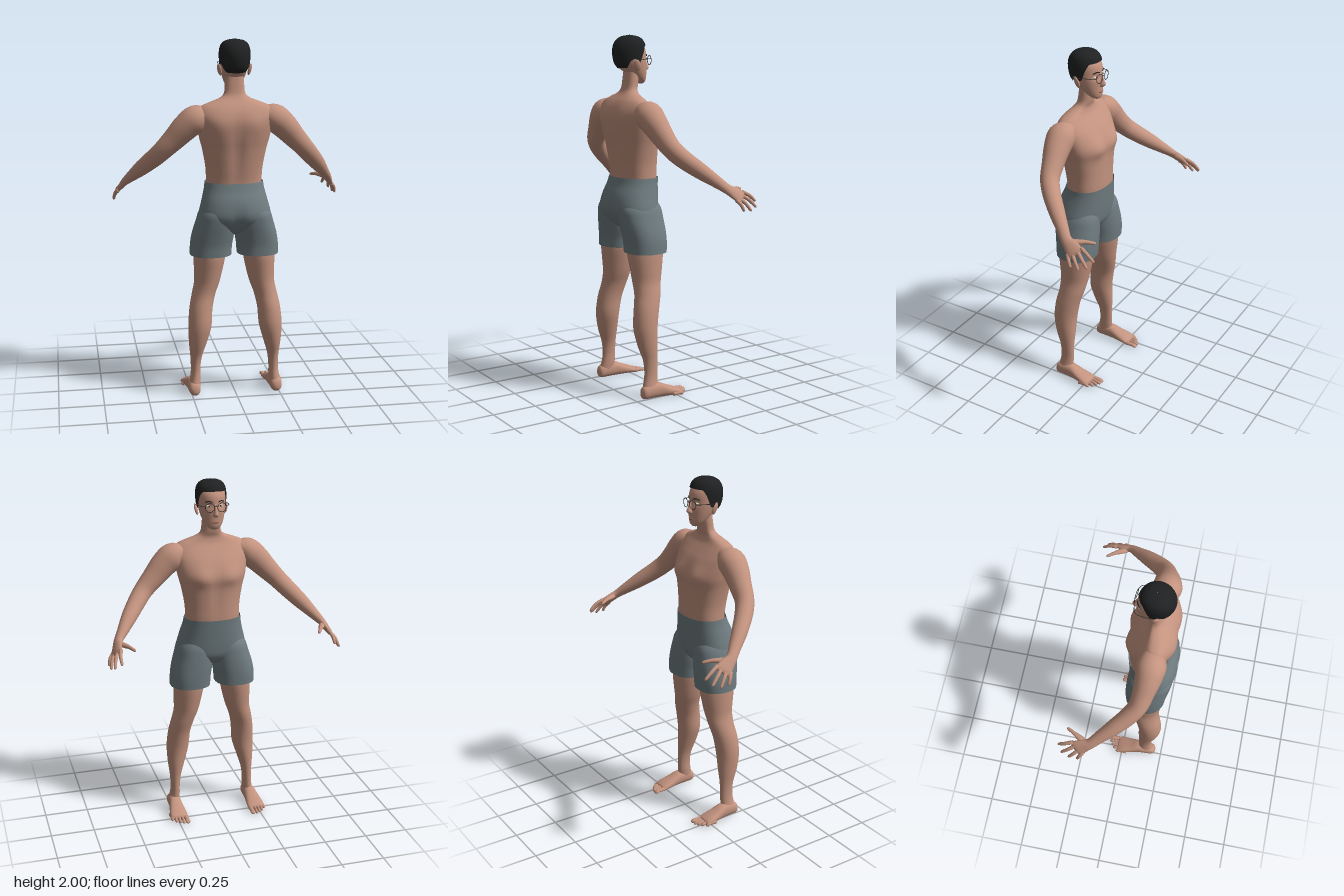
import * as THREE from 'three';

const mat = (name, color, double) => {
  const m = new THREE.MeshStandardMaterial({ color });
  m.name = name;
  if (double) m.side = THREE.DoubleSide;
  return m;
};
const V = (a) => new THREE.Vector3(...a);
const gauss = (d, w) => Math.exp(-(d * d) / (w * w));

// Smooth skin over cross-sections [x, y, z, halfWidth, halfDepth].
// dir fixes the sweep direction; otherwise it follows the path. s = -1 mirrors in x.
function loft(nodes, o = {}) {
  const { u = [1, 0, 0], dir, n = 28, per = 4, power = 2, s = 1, shape, start, caps = true } = o;
  const last = nodes.length - 1, rows = last * per;
  const spline = new THREE.CubicInterpolant(nodes.map((_, i) => i), nodes.flat(), 5);
  const at = (t) => Array.from(spline.evaluate(Math.min(last, Math.max(0, t))));
  const pos = [], idx = [];
  const tri = (a, b, c) => (s > 0 ? idx.push(a, b, c) : idx.push(a, c, b));
  const bend = (x) => Math.sign(x) * Math.pow(Math.abs(x), 2 / power);
  const put = (p) => {
    if (shape) shape(p);
    pos.push(p.x * s, p.y, p.z);
  };
  for (let i = 0; i <= rows; i++) {
    for (let j = 0; j < n; j++) {
      const phi = (j / n) * Math.PI * 2;
      const t0 = start ? start(phi) : 0;
      const t = t0 + (last - t0) * (i / rows);
      const q = at(t);
      const tan = dir ? V(dir) : V(at(t + 0.05)).sub(V(at(t - 0.05))).normalize();
      const side = V(u).addScaledVector(tan, -V(u).dot(tan)).normalize();
      const depth = side.clone().cross(tan);
      put(V(q).addScaledVector(side, bend(Math.sin(phi)) * q[3])
        .addScaledVector(depth, -bend(Math.cos(phi)) * q[4]));
      if (i < rows) {
        const a = i * n + j, b = i * n + (j + 1) % n;
        tri(a, a + n, b);
        tri(b, a + n, b + n);
      }
    }
  }
  if (caps) {
    const c = pos.length / 3;
    put(V(nodes[0]));
    put(V(nodes[last]));
    for (let j = 0; j < n; j++) {
      const k = (j + 1) % n;
      tri(c, j, k);
      tri(c + 1, rows * n + k, rows * n + j);
    }
  }
  const g = new THREE.BufferGeometry();
  g.setAttribute('position', new THREE.Float32BufferAttribute(pos, 3));
  g.setIndex(idx);
  g.computeVertexNormals();
  return g;
}

// Horizontal sections given as [y, halfWidth, zFront, zBack]
const stack = (list, o) =>
  loft(list.map(([y, w, f, b]) => [0, y, (f + b) / 2, w, (b - f) / 2]), { dir: [0, 1, 0], ...o });

export function createModel() {
  const root = new THREE.Group();
  root.name = 'standingMan';
  const skin = mat('skin', 0xc3937f), cloth = mat('shortsCloth', 0x6f7c80, true);
  const black = mat('hairBlack', 0x202122, true), frame = mat('glassesFrame', 0x35302e);
  const white = mat('eyeWhite', 0xe4ddd6), iris = mat('iris', 0x3a2a22), lip = mat('lips', 0xa96f62);
  const add = (name, g, m) => {
    const mesh = new THREE.Mesh(g, m);
    mesh.name = name;
    root.add(mesh);
    return mesh;
  };
  const ball = (name, m, p, r) => {
    const b = add(name, new THREE.SphereGeometry(1, 20, 14), m);
    b.position.set(...p);
    b.scale.set(...r);
    return b;
  };

  // Torso and neck, with chest muscles, shoulder blades and spine groove
  add('torso', stack([
    [1.14, 0.15, 0.012, 0.215], [1.22, 0.154, 0.005, 0.217], [1.3, 0.158, 0.004, 0.228],
    [1.4, 0.176, 0.002, 0.243], [1.47, 0.194, -0.001, 0.255], [1.55, 0.208, 0.032, 0.26],
    [1.6, 0.212, 0.066, 0.248], [1.64, 0.19, 0.095, 0.225], [1.665, 0.135, 0.106, 0.203],
    [1.685, 0.083, 0.107, 0.186], [1.71, 0.058, 0.1, 0.174], [1.76, 0.053, 0.092, 0.166],
    [1.81, 0.05, 0.085, 0.16],
  ], {
    n: 56, power: 2.35, shape: (p) => {
      if (p.z < 0.1) {
        p.z -= 0.015 * gauss(Math.abs(p.x) - 0.085, 0.05) * gauss(p.y - 1.475, 0.05);
        p.z += 0.006 * gauss(p.x, 0.02) * gauss(p.y - 1.38, 0.14);
      } else {
        p.z -= 0.012 * gauss(p.x, 0.03) * gauss(p.y - 1.4, 0.17);
        p.z += 0.008 * gauss(Math.abs(p.x) - 0.1, 0.05) * gauss(p.y - 1.54, 0.06);
      }
    },
  }), skin);

  // Head with shallow eye sockets
  add('head', stack([
    [1.735, 0.016, 0.052, 0.075], [1.745, 0.034, 0.042, 0.095], [1.765, 0.05, 0.037, 0.13],
    [1.8, 0.064, 0.036, 0.165], [1.84, 0.073, 0.034, 0.198], [1.88, 0.077, 0.037, 0.214],
    [1.92, 0.077, 0.044, 0.216], [1.95, 0.069, 0.063, 0.205], [1.975, 0.045, 0.09, 0.18],
    [1.985, 0.008, 0.125, 0.145],
  ], {
    n: 48, shape: (p) => {
      if (p.z < 0.09) p.z += 0.008 * gauss(Math.abs(p.x) - 0.033, 0.02) * gauss(p.y - 1.868, 0.016);
    },
  }), skin);
  add('nose', stack([
    [1.806, 0.009, 0.028, 0.05], [1.814, 0.016, 0.016, 0.055], [1.825, 0.015, 0.011, 0.055],
    [1.845, 0.009, 0.02, 0.055], [1.88, 0.007, 0.036, 0.055],
  ], { n: 16 }), skin);
  ball('lips', lip, [0, 1.778, 0.04], [0.021, 0.007, 0.008]);

  // Hair cap; its lower edge dips from forehead to sideburns and nape
  const edge = [[0, 3.15], [48, 3.05], [62, 2.3], [78, 1.0], [89, 0.8], [97, 1.5], [115, 1.2], [135, 0.15], [181, 0]];
  add('hair', stack([
    [1.818, 0.071, 0.05, 0.2], [1.85, 0.08, 0.04, 0.224], [1.9, 0.085, 0.036, 0.234],
    [1.94, 0.084, 0.044, 0.229], [1.972, 0.073, 0.06, 0.211], [1.991, 0.048, 0.088, 0.182],
    [2.0, 0.002, 0.132, 0.136],
  ], {
    n: 72, caps: false, start: (phi) => {
      const d = THREE.MathUtils.radToDeg(Math.min(phi, Math.PI * 2 - phi));
      const k = edge.findIndex((e) => e[0] > d);
      const [a, b] = [edge[k - 1], edge[k]];
      return THREE.MathUtils.mapLinear(d, a[0], b[0], a[1], b[1]);
    },
  }), black);

  // Shorts: seat
  add('shortsSeat', stack([
    [0.935, 0.05, 0.09, 0.19], [0.955, 0.12, 0.045, 0.225], [1.0, 0.195, 0.016, 0.262],
    [1.05, 0.2, 0.007, 0.28], [1.12, 0.183, 0.002, 0.268], [1.18, 0.168, -0.001, 0.241],
    [1.222, 0.162, -0.003, 0.226],
  ], {
    n: 48, power: 2.3, caps: false, shape: (p) => {
      if (p.z > 0.15) p.z -= 0.014 * gauss(p.x, 0.03) * gauss(p.y - 1.02, 0.06);
    },
  }), cloth);

  // Glasses bridge
  const rod = (name, pts, r, m) => add(name, new THREE.TubeGeometry(
    new THREE.CatmullRomCurve3(pts.map(V)), 12, r, 8), m);
  rod('glassesBridge', [[-0.009, 1.87, 0.024], [0, 1.873, 0.02], [0.009, 1.87, 0.024]], 0.0017, frame);

  const across = [0.035, -0.04, 0.065]; // from index knuckle to little knuckle
  for (const s of [1, -1]) {
    const side = s > 0 ? 'left' : 'right';

    // Face details
    ball(side + 'Eye', white, [s * 0.033, 1.866, 0.057], [0.014, 0.007, 0.011]);
    ball(side + 'Iris', iris, [s * 0.033, 1.866, 0.0485], [0.005, 0.005, 0.004]);
    rod(side + 'Eyebrow', [[s * 0.016, 1.889, 0.039], [s * 0.034, 1.894, 0.046], [s * 0.052, 1.888, 0.058]], 0.003, black);
    const ear = ball(side + 'Ear', skin, [s * 0.083, 1.835, 0.138], [0.009, 0.033, 0.019]);
    ear.rotation.set(0.2, s * -0.4, s * -0.2);
    const rim = add(side + 'GlassesRim', new THREE.TorusGeometry(0.025, 0.0017, 8, 32), frame);
    rim.position.set(s * 0.034, 1.862, 0.027);
    rim.rotation.y = s * -0.15;
    rod(side + 'GlassesTemple', [[s * 0.059, 1.868, 0.031], [s * 0.078, 1.87, 0.045], [s * 0.086, 1.868, 0.09], [s * 0.084, 1.86, 0.14]], 0.0017, frame);

    // Shorts leg
    add(side + 'ShortsLeg', loft([
      [0.133, 0.813, 0.12, 0.116, 0.114], [0.13, 0.87, 0.12, 0.117, 0.117],
      [0.12, 0.93, 0.125, 0.117, 0.122], [0.107, 1.0, 0.133, 0.109, 0.126],
      [0.098, 1.06, 0.138, 0.098, 0.122], [0.09, 1.12, 0.135, 0.06, 0.085],
    ], { dir: [0, 1, 0], n: 40, power: 2.3, s, caps: false }), cloth);

    // Leg
    add(side + 'Leg', loft([
      [0.235, 0.04, 0.155, 0.034, 0.048], [0.227, 0.1, 0.146, 0.029, 0.042],
      [0.225, 0.15, 0.143, 0.027, 0.04], [0.222, 0.22, 0.146, 0.033, 0.044],
      [0.214, 0.3, 0.157, 0.049, 0.059], [0.202, 0.4, 0.164, 0.065, 0.069],
      [0.194, 0.5, 0.152, 0.065, 0.073], [0.177, 0.58, 0.134, 0.066, 0.076],
      [0.157, 0.65, 0.127, 0.071, 0.083], [0.148, 0.72, 0.125, 0.08, 0.093],
      [0.14, 0.8, 0.125, 0.088, 0.104], [0.135, 0.88, 0.125, 0.09, 0.105],
    ], { dir: [0, 1, 0], s }), skin);

    // Foot and toes
    add(side + 'Foot', loft([
      [0.235, 0.03, 0.212, 0.01, 0.012], [0.235, 0.036, 0.197, 0.03, 0.034],
      [0.235, 0.043, 0.15, 0.036, 0.042], [0.236, 0.042, 0.1, 0.038, 0.042],
      [0.238, 0.031, 0.05, 0.045, 0.031], [0.239, 0.021, 0, 0.051, 0.021],
      [0.236, 0.014, -0.03, 0.046, 0.013],
    ], { dir: [0, 0, -1], power: 2.3, s }), skin);
    [0, 0.002, 0.013, 0.028, 0.05].forEach((back, i) => {
      const x = 0.202 + 0.0195 * i + (i ? 0.004 : 0), r = i ? 0.009 : 0.014, z = -0.088 + back;
      add(side + 'Toe' + (i + 1), loft([
        [x, 0.014, z + 0.068, r, 0.012], [x, 0.014, z + 0.03, r * 0.9, 0.01],
        [x, 0.011, z + 0.01, r, 0.01], [x, 0.009, z, r * 0.4, 0.004],
      ], { dir: [0, 0, -1], n: 14, s }), skin);
    });

    // Arm down to the palm
    add(side + 'Arm', loft([
      [0.14, 1.6, 0.155, 0.045, 0.035], [0.21, 1.577, 0.155, 0.078, 0.074],
      [0.27, 1.53, 0.15, 0.072, 0.073], [0.33, 1.467, 0.138, 0.06, 0.063],
      [0.39, 1.405, 0.121, 0.052, 0.054], [0.44, 1.352, 0.08, 0.049, 0.05],
      [0.5, 1.29, 0.01, 0.043, 0.043], [0.55, 1.236, -0.055, 0.034, 0.031],
      [0.585, 1.198, -0.1, 0.03, 0.022], [0.598, 1.176, -0.135, 0.039, 0.018],
      [0.61, 1.155, -0.168, 0.044, 0.014], [0.616, 1.145, -0.182, 0.036, 0.006],
    ], { u: across, s }), skin);

    // Fingers
    [['index', -0.48, [0.602, 1.122, -0.279]], ['middle', -0.17, [0.637, 1.096, -0.257]],
      ['ring', 0.17, [0.651, 1.08, -0.214]], ['little', 0.46, [0.652, 1.082, -0.166]]].forEach(([name, k, tip]) => {
      const a = V([0.607, 1.158, -0.163]).addScaledVector(V(across), k), b = V(tip);
      const mid = a.clone().lerp(b, 0.5).add(V([0.004, 0.006, 0]));
      const near = a.clone().lerp(b, 0.9);
      add(side + '_' + name + 'Finger', loft([
        [...a, 0.011, 0.011], [...mid, 0.01, 0.0095], [...near, 0.008, 0.0075], [...b, 0.003, 0.003],
      ], { u: across, n: 12, s }), skin);
    });
    add(side + 'Thumb', loft([
      [0.588, 1.19, -0.115, 0.014, 0.012], [0.567, 1.19, -0.155, 0.017, 0.014],
      [0.545, 1.19, -0.195, 0.011, 0.011], [0.524, 1.183, -0.232, 0.008, 0.008],
      [0.519, 1.181, -0.241, 0.003, 0.003],
    ], { u: [1, 0, -0.4], n: 14, s }), skin);
  }
  return root;
}
